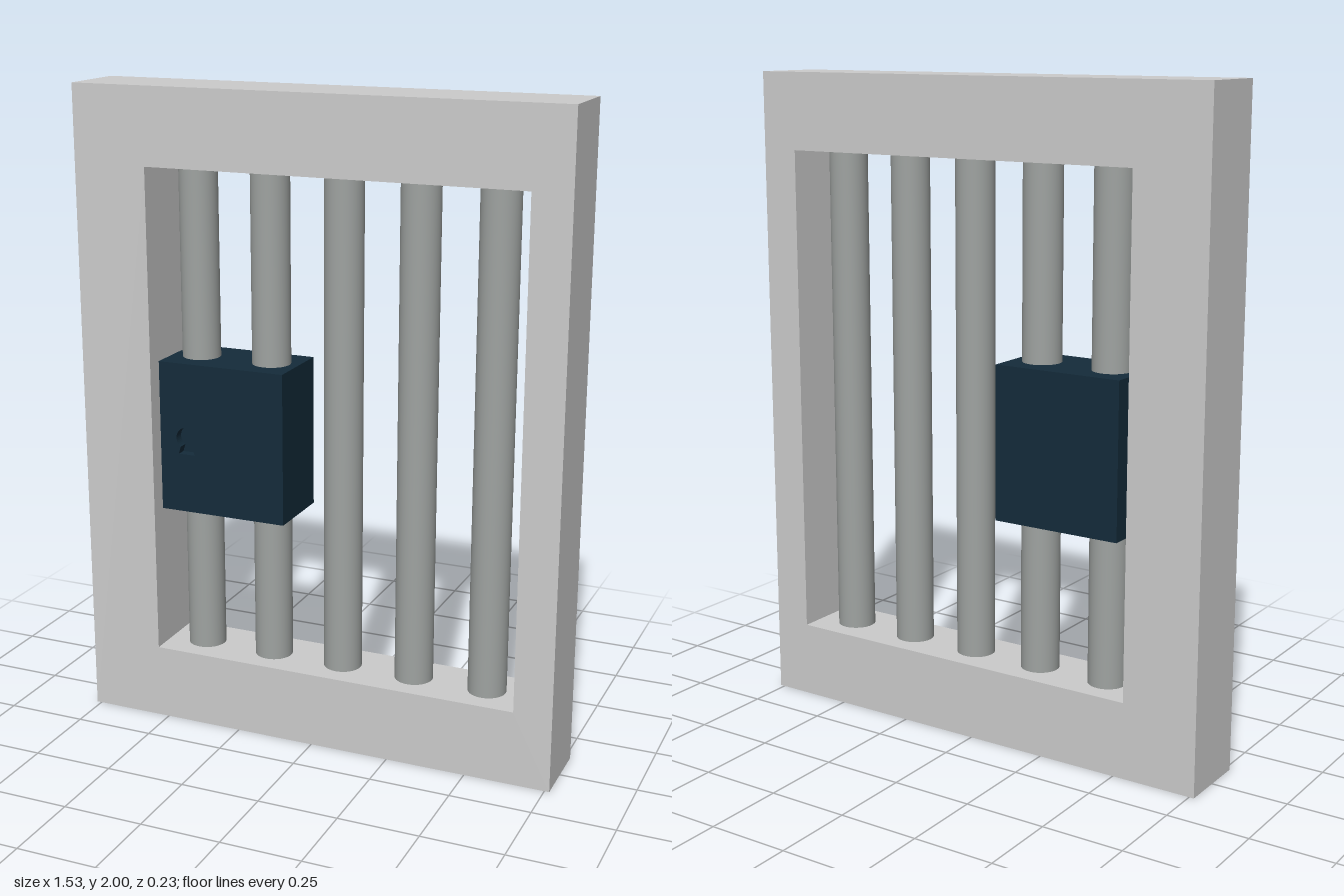
import * as THREE from 'three';

const DEPTH = 0.23;

// Rectangle outline, usable as a shape or as a hole
function rect(path, x0, y0, x1, y1) {
  path.moveTo(x0, y0);
  path.lineTo(x1, y0);
  path.lineTo(x1, y1);
  path.lineTo(x0, y1);
  path.closePath();
  return path;
}

// Round top with a flared slot below it
function keyhole(cx, cy, r) {
  const path = new THREE.Path();
  path.moveTo(cx - r * 0.8, cy - r * 1.5);
  path.lineTo(cx + r * 0.8, cy - r * 1.5);
  path.absarc(cx, cy, r, -Math.PI * 0.3, Math.PI * 1.3, false);
  path.closePath();
  return path;
}

function extrude(shape, depth, z, material, name) {
  const geometry = new THREE.ExtrudeGeometry(shape, { depth, bevelEnabled: false, curveSegments: 16 });
  const mesh = new THREE.Mesh(geometry, material);
  mesh.position.z = z;
  mesh.name = name;
  return mesh;
}

export function createModel() {
  const model = new THREE.Group();
  model.name = 'barredGate';
  const frameMaterial = new THREE.MeshStandardMaterial({ color: 0xcccccc });
  const barMaterial = new THREE.MeshStandardMaterial({ color: 0x9fa3a1 });
  const lockMaterial = new THREE.MeshStandardMaterial({ color: 0x142b3a });

  // Frame, with a wider stile on the lock side
  const outline = rect(new THREE.Shape(), -0.765, 0, 0.765, 2);
  outline.holes.push(rect(new THREE.Path(), -0.53, 0.235, 0.647, 1.765));
  model.add(extrude(outline, DEPTH, -DEPTH / 2, frameMaterial, 'frame'));

  // Five upright bars
  const barGeometry = new THREE.CylinderGeometry(0.059, 0.059, 1.53, 32);
  for (let i = 0; i < 5; i++) {
    const bar = new THREE.Mesh(barGeometry, barMaterial);
    bar.position.set(-0.412 + i * 0.2353, 1, 0);
    bar.name = `bar${i + 1}`;
    model.add(bar);
  }

  // Lock box around two bars, its front plate pierced by the keyhole
  const lock = new THREE.Group();
  lock.name = 'lock';
  const plateDepth = 0.03;
  const plate = rect(new THREE.Shape(), -0.5, 0.71, -0.09, 1.18);
  plate.holes.push(keyhole(-0.412, 0.945, 0.034));
  lock.add(extrude(plate, plateDepth, DEPTH / 2 - plateDepth, lockMaterial, 'keyholePlate'));
  const body = rect(new THREE.Shape(), -0.5, 0.71, -0.09, 1.18);
  lock.add(extrude(body, DEPTH - plateDepth, -DEPTH / 2, lockMaterial, 'lockBody'));
  model.add(lock);

  return model;
}
